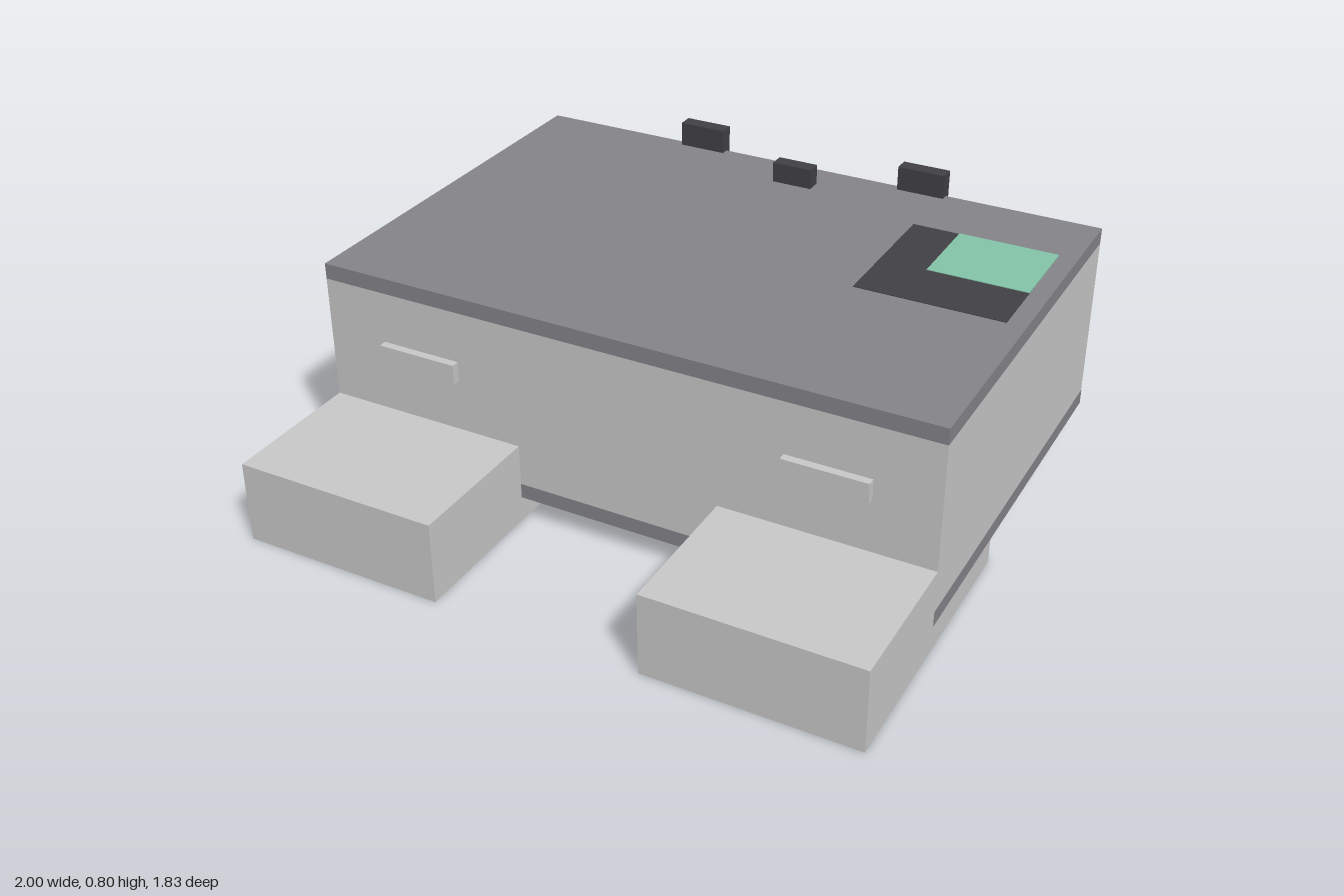
import * as THREE from 'three';

const paint = (name, color) => {
  const m = new THREE.MeshStandardMaterial({ color });
  m.name = name;
  return m;
};

export function createModel() {
  const model = new THREE.Group();
  model.name = 'model';
  const lightGrey = paint('lightGrey', 0xc9c9c9);
  const midGrey = paint('midGrey', 0x858489);
  const charcoal = paint('charcoal', 0x424146);
  const green = paint('green', 0x84c5a9);

  // Box given by its extents along each axis
  const box = (name, material, [x0, x1], [y0, y1], [z0, z1]) => {
    const mesh = new THREE.Mesh(new THREE.BoxGeometry(x1 - x0, y1 - y0, z1 - z0), material);
    mesh.position.set((x0 + x1) / 2, (y0 + y1) / 2, (z0 + z1) / 2);
    mesh.name = name;
    model.add(mesh);
  };
  const pair = (name, material, [x0, x1], y, z) => {
    box(name + 'Left', material, [x0, x1], y, z);
    box(name + 'Right', material, [-x1, -x0], y, z);
  };

  // Main body between two slabs
  box('body', lightGrey, [-1, 1], [0.132, 0.67], [-0.89, 0.447]);
  box('topSlab', midGrey, [-1, 1], [0.67, 0.721], [-0.89, 0.447]);
  box('bottomSlab', midGrey, [-1.001, 1.001], [0.083, 0.132], [-0.89, 0.447]);

  // Front feet and drawer handles
  pair('foot', lightGrey, [0.333, 1], [0, 0.267], [-0.017, 0.912]);
  pair('handle', lightGrey, [0.535, 0.8], [0.438, 0.503], [0.44, 0.473]);

  // Rear hinges and the central post running through the body
  pair('hinge', charcoal, [0.32, 0.48], [0.668, 0.801], [-0.914, -0.864]);
  box('centrePost', charcoal, [-0.068, 0.068], [0.081, 0.788], [-0.782, -0.732]);

  // Inlaid panel on the top
  box('panel', charcoal, [0.467, 0.94], [0.717, 0.723], [-0.64, -0.16]);
  box('panelScreen', green, [0.62, 0.94], [0.718, 0.725], [-0.64, -0.36]);

  return model;
}
